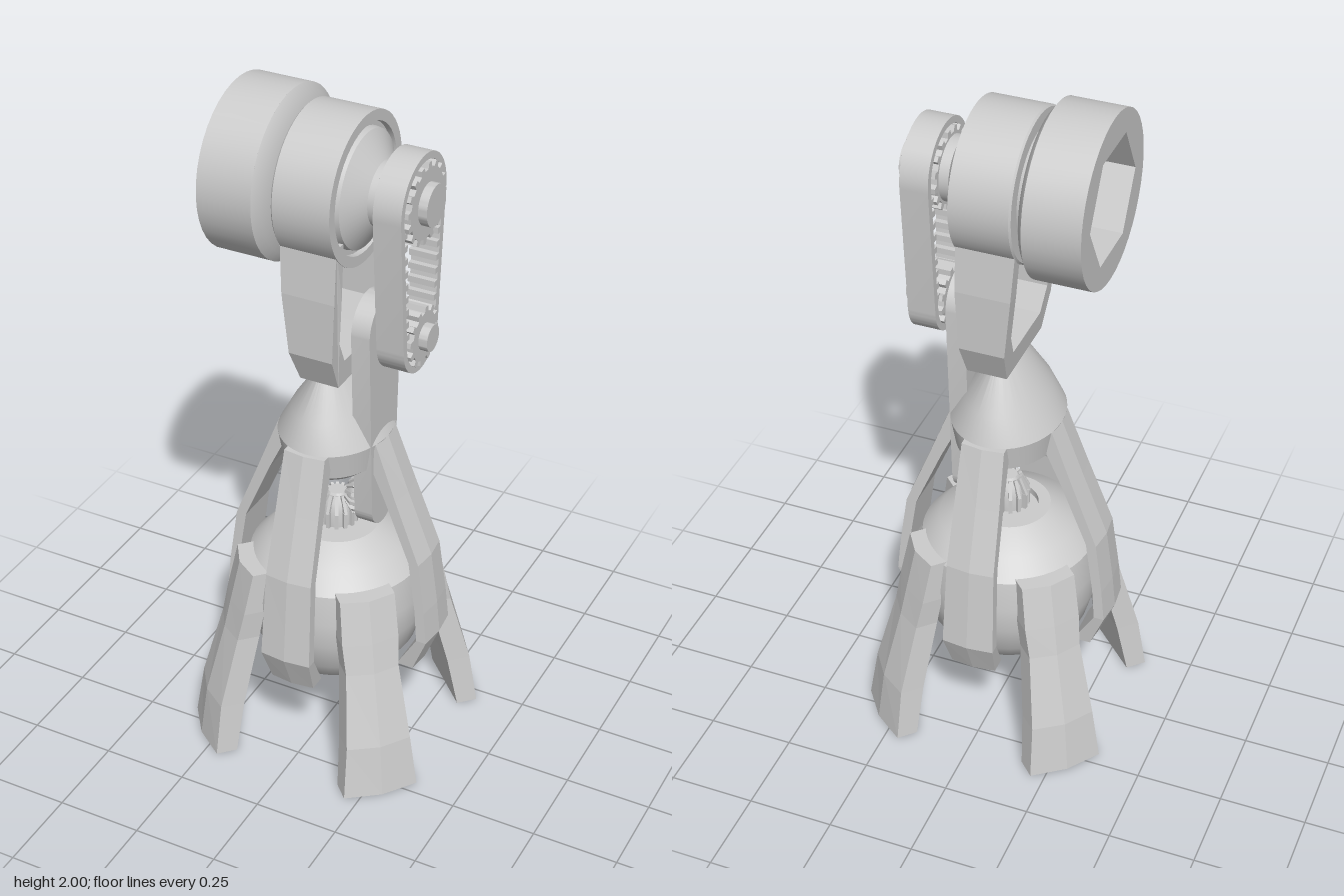
import * as THREE from 'three';
import { toCreasedNormals } from 'three/addons/utils/BufferGeometryUtils.js';

const material = new THREE.MeshStandardMaterial({ color: 0xcccccc, side: THREE.DoubleSide });
const HEAD_Y = 1.76, JOINT_Y = 1.365;

function add(parent, name, geometry) {
  const mesh = new THREE.Mesh(geometry, material);
  mesh.name = name;
  parent.add(mesh);
  return mesh;
}

// Turned part; pairs are [radius, height]
function turned(pairs, segments = 48) {
  const points = pairs.map(([r, y]) => new THREE.Vector2(r, y));
  return toCreasedNormals(new THREE.LatheGeometry(points, segments), 0.5);
}

// Turned part with its axis along x
const turnedX = (pairs, y) => turned(pairs).rotateZ(-Math.PI / 2).translate(0, y, 0);

// Extrude a (z, y) outline from x0 to x1
function extrudeX(shape, x0, x1) {
  const g = new THREE.ExtrudeGeometry(shape, { depth: x1 - x0, bevelEnabled: false, curveSegments: 20 });
  return toCreasedNormals(g.rotateY(Math.PI / 2).translate(x0, 0, 0), 0.5);
}

// Outline of a strap drawn tightly around two circles, one above the other
function strap(Type, yTop, rTop, yLow, rLow) {
  const a = -Math.asin((rTop - rLow) / (yTop - yLow));
  const path = new Type();
  path.absarc(0, yTop, rTop, a, Math.PI - a, false);
  path.absarc(0, yLow, rLow, Math.PI - a, Math.PI * 2 + a, false);
  path.closePath();
  return path;
}

function gearShape(teeth, rIn, rOut, y) {
  const points = [];
  for (let i = 0; i < teeth; i++) {
    [[0, rIn], [0.45, rIn], [0.55, rOut], [0.9, rOut]].forEach(([f, r]) => {
      const a = ((i + f) / teeth) * Math.PI * 2;
      points.push(new THREE.Vector2(r * Math.cos(a), y + r * Math.sin(a)));
    });
  }
  return new THREE.Shape(points);
}

// Faceted limb facing +z; rows are [outer reach, height, half width, thickness], top to bottom
function limb(rows, bulge) {
  const positions = [], index = [], n = 5;
  rows.forEach(([r, y, t, d]) => {
    [[-t, r - d], [-t, r], [0, r + bulge], [t, r], [t, r - d]].forEach(([x, z]) => positions.push(x, y, z));
  });
  for (let i = 0; i < rows.length - 1; i++) {
    for (let j = 0; j < n; j++) {
      const a = i * n + j, b = i * n + ((j + 1) % n);
      index.push(a, a + n, b + n, a, b + n, b);
    }
  }
  const last = (rows.length - 1) * n;
  for (let j = 1; j < n - 1; j++) index.push(0, j, j + 1, last, last + j + 1, last + j);
  const g = new THREE.BufferGeometry();
  g.setAttribute('position', new THREE.Float32BufferAttribute(positions, 3));
  g.setIndex(index);
  const flat = g.toNonIndexed();
  flat.computeVertexNormals();
  return flat;
}

// Dome gear with ribs, standing on its origin
function domeGear(name) {
  const gear = new THREE.Group();
  gear.name = name;
  add(gear, 'gearDome', turned([[0, 0], [0.05, 0], [0.05, 0.045], [0.042, 0.075], [0.025, 0.1], [0, 0.1]], 24));
  for (let i = 0; i < 14; i++) {
    const a = (i / 14) * Math.PI * 2;
    const low = new THREE.BoxGeometry(0.011, 0.05, 0.016).translate(0, 0.025, 0.052);
    const high = new THREE.BoxGeometry(0.009, 0.055, 0.014).rotateX(-0.45).translate(0, 0.07, 0.044);
    add(gear, 'gearTooth', low.rotateY(a));
    add(gear, 'gearTooth', high.rotateY(a));
  }
  return gear;
}

export function createModel() {
  const model = new THREE.Group();
  model.name = 'machine';

  // Round core body, hollowed underneath
  add(model, 'coreBody', turned([[0, 0.3], [0.08, 0.28], [0.125, 0.23], [0.19, 0.265], [0.235, 0.33],
    [0.26, 0.42], [0.263, 0.5], [0.25, 0.59], [0.2, 0.645], [0.12, 0.69], [0.085, 0.69], [0.085, 0.67], [0, 0.67]]));

  // Diagonal legs and upright struts
  const legGeometry = limb([[0.275, 0.6, 0.08, 0.06], [0.305, 0.47, 0.083, 0.06], [0.325, 0.38, 0.078, 0.065],
    [0.385, 0.16, 0.095, 0.07], [0.407, 0, 0.11, 0.062]], 0.017);
  const strutGeometry = limb([[0.15, 1.02, 0.062, 0.05], [0.215, 0.85, 0.066, 0.035], [0.29, 0.66, 0.07, 0.03],
    [0.312, 0.5, 0.074, 0.028], [0.322, 0.4, 0.076, 0.03], [0.278, 0.29, 0.066, 0.05]], 0.008);
  for (let i = 0; i < 4; i++) {
    add(model, 'leg', legGeometry).rotation.y = Math.PI / 4 + (i * Math.PI) / 2;
    const strut = add(model, 'strut', strutGeometry.clone());
    strut.rotation.y = (i * Math.PI) / 2;
    if (i % 2 === 0) {
      // Front and back struts lean out further at the top
      const p = strut.geometry.attributes.position;
      for (let k = 0; k < p.count; k++) p.setZ(k, p.getZ(k) + 0.045 * Math.max(0, (p.getY(k) - 0.6) / 0.42));
      strut.geometry.computeVertexNormals();
    }
  }

  // Shoulder cone, pinched to a wedge at the top
  const shoulder = turned([[0, 0.9], [0.1, 0.9], [0.145, 0.94], [0.158, 1.02], [0.115, 1.1], [0.035, 1.22], [0, 1.22]]);
  const sp = shoulder.attributes.position;
  for (let k = 0; k < sp.count; k++) {
    sp.setZ(k, sp.getZ(k) * (1.2 + 1.2 * Math.max(0, (sp.getY(k) - 1.02) / 0.2) ** 2));
  }
  shoulder.computeVertexNormals();
  add(model, 'shoulder', toCreasedNormals(shoulder, 0.5));

  // Meshing dome gears below the shoulder
  const uprightGear = domeGear('uprightGear');
  uprightGear.position.y = 0.69;
  const sideGear = domeGear('sideGear');
  sideGear.position.set(0.1, 0.8, 0);
  sideGear.rotation.z = Math.PI / 2;
  sideGear.scale.set(1, 0.6, 1);
  model.add(uprightGear, sideGear);

  // Side plate carrying the lower pulley
  add(model, 'sidePlate', extrudeX(strap(THREE.Shape, JOINT_Y, 0.095, 0.8, 0.07), 0.09, 0.145));

  // Fork: a U-shaped yoke, tapered towards the bottom
  const half = [[0.13, 1.22], [0.175, 1.32], [0.178, 1.5], [0.165, 1.66], [0.125, 1.66], [0.135, 1.5], [0.135, 1.36], [0.1, 1.29]];
  const outline = [...half, ...half.map(([z, y]) => [-z, y]).reverse()];
  const fork = extrudeX(new THREE.Shape(outline.map(([z, y]) => new THREE.Vector2(z, y))), 0, 1);
  const fp = fork.attributes.position;
  for (let k = 0; k < fp.count; k++) {
    const y = fp.getY(k);
    const left = THREE.MathUtils.mapLinear(Math.min(y, 1.6), 1.22, 1.6, -0.045, -0.083);
    const right = THREE.MathUtils.mapLinear(Math.min(y, 1.5), 1.22, 1.5, 0.07, 0.083);
    fp.setX(k, fp.getX(k) > 0.5 ? right : left);
  }
  fork.computeVertexNormals();
  add(model, 'fork', fork);

  // Head: ring with recessed rim, cone and neck
  add(model, 'headRing', turnedX([[0, -0.085], [0.205, -0.085], [0.21, -0.08], [0.21, 0.085], [0.18, 0.085],
    [0.178, 0.07], [0.165, 0.07], [0.162, 0.088], [0.09, 0.132], [0.09, 0.17], [0, 0.17]], HEAD_Y));

  // Head cup with a six-sided socket
  const rim = new THREE.Shape().absarc(0, HEAD_Y, 0.24, 0, Math.PI * 2, false);
  const socket = [];
  for (let i = 0; i < 6; i++) {
    const a = (-i * Math.PI) / 3;
    socket.push(new THREE.Vector2(0.175 * Math.cos(a), HEAD_Y + 0.175 * Math.sin(a)));
  }
  rim.holes.push(new THREE.Path(socket));
  add(model, 'headCup', extrudeX(rim, -0.285, -0.125));
  add(model, 'headCupBack', turnedX([[0, -0.125], [0.24, -0.125], [0.215, -0.108], [0.17, -0.098], [0.165, -0.08]], HEAD_Y));

  // Pulleys and shafts
  add(model, 'upperPulley', extrudeX(gearShape(16, 0.098, 0.114, HEAD_Y), 0.16, 0.26));
  add(model, 'lowerPulley', extrudeX(gearShape(12, 0.07, 0.086, JOINT_Y), 0.16, 0.26));
  add(model, 'upperShaft', turnedX([[0, 0.15], [0.058, 0.15], [0.058, 0.285], [0, 0.285]], HEAD_Y));
  add(model, 'lowerShaft', turnedX([[0, 0.1], [0.038, 0.1], [0.038, 0.285], [0, 0.285]], JOINT_Y));

  // Toothed drive belt
  const belt = strap(THREE.Shape, HEAD_Y, 0.135, JOINT_Y, 0.105);
  belt.holes.push(strap(THREE.Path, HEAD_Y, 0.115, JOINT_Y, 0.085));
  add(model, 'belt', extrudeX(belt, 0.17, 0.25));
  for (const side of [-1, 1]) {
    for (let i = 0; i < 9; i++) {
      const y = 1.4 + i * 0.039;
      const z = side * THREE.MathUtils.mapLinear(y, JOINT_Y, HEAD_Y, 0.08, 0.11);
      add(model, 'beltTooth', new THREE.BoxGeometry(0.08, 0.018, 0.02)).position.set(0.21, y, z);
    }
  }
  return model;
}
